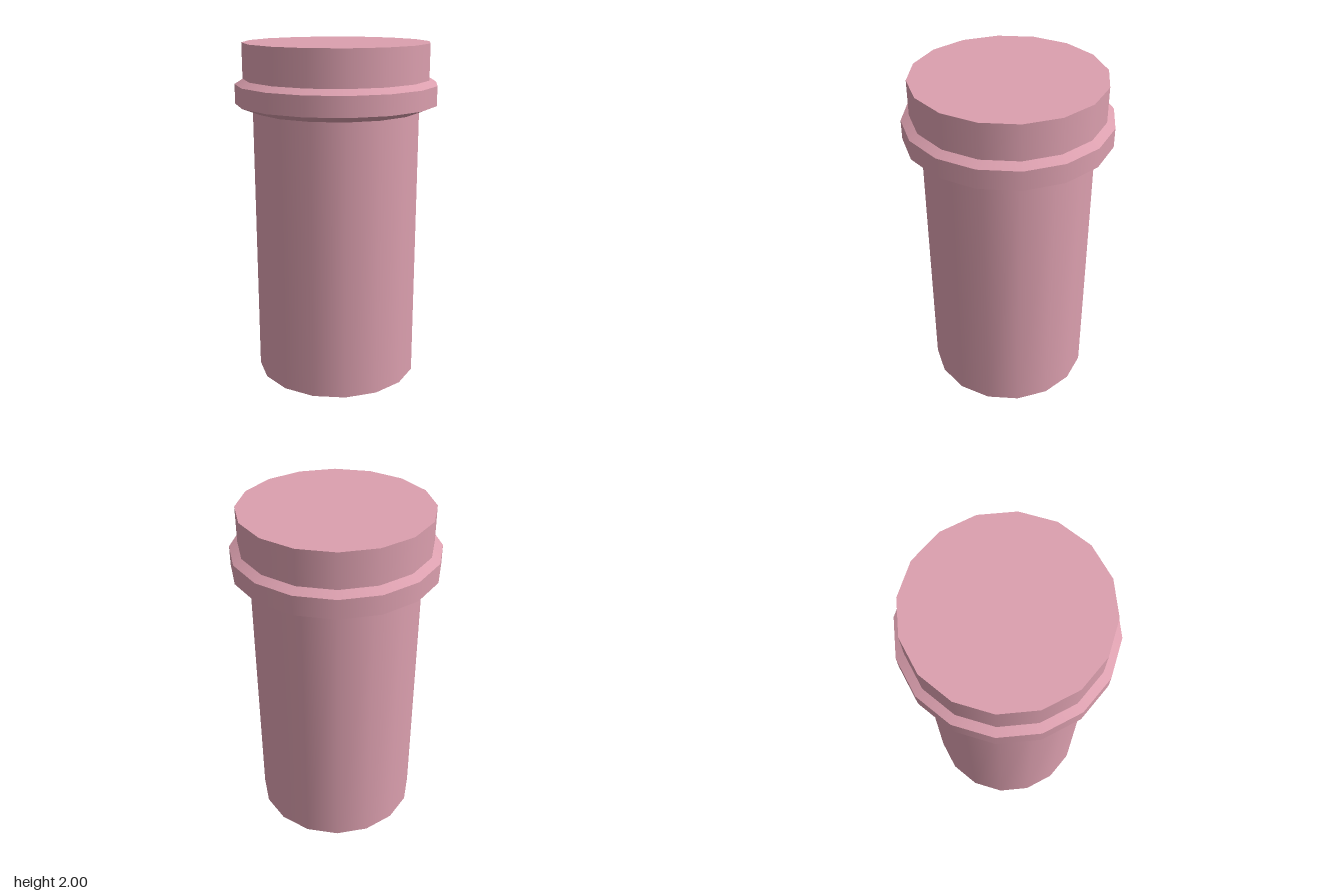
import * as THREE from 'three';

const SIDES = 16;
// Radii are measured to the flat faces, which look along x and z
const TO_CORNER = 1 / Math.cos(Math.PI / SIDES);

export function createModel() {
  const model = new THREE.Group();
  model.name = 'flangedCylinder';
  const material = new THREE.MeshStandardMaterial({ color: 0xdb9fae });

  function section(name, bottomRadius, topRadius, bottom, top, open, parent) {
    const geometry = new THREE.CylinderGeometry(
      topRadius * TO_CORNER, bottomRadius * TO_CORNER, top - bottom,
      SIDES, 1, open, Math.PI / SIDES);
    const mesh = new THREE.Mesh(geometry, material);
    mesh.name = name;
    mesh.position.y = (bottom + top) / 2;
    parent.add(mesh);
  }

  // Long shaft and the wider head above it
  section('body', 0.478, 0.478, 0, 1.617, false, model);
  section('head', 0.53, 0.53, 1.797, 2, false, model);

  // Collar: flare below, straight band, bevel above
  const collar = new THREE.Group();
  collar.name = 'collar';
  section('collarFlare', 0.478, 0.576, 1.617, 1.656, true, collar);
  section('collarBand', 0.576, 0.576, 1.656, 1.768, true, collar);
  section('collarBevel', 0.576, 0.53, 1.768, 1.797, true, collar);
  model.add(collar);

  return model;
}
